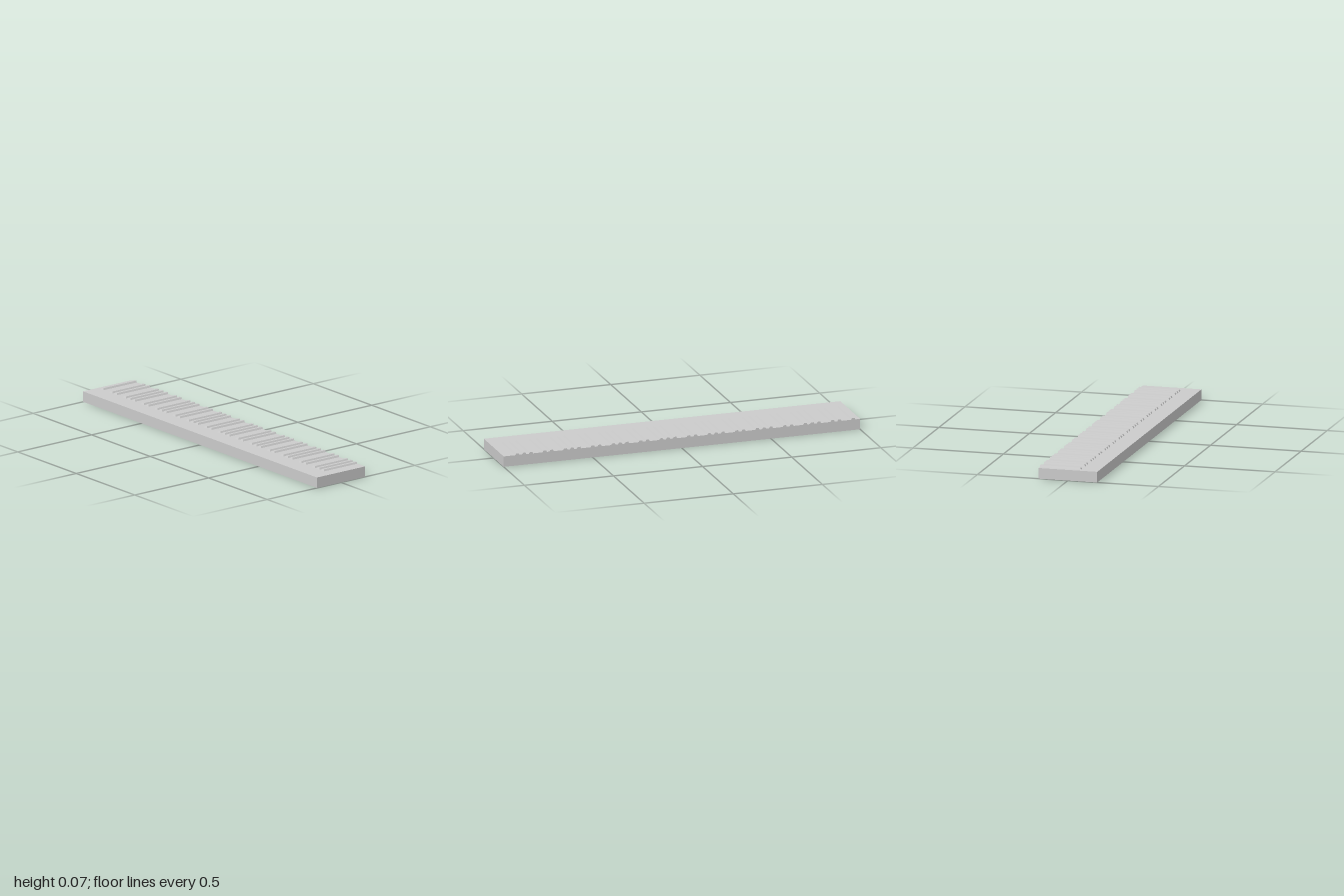
import * as THREE from 'three';

const WHITE_KEYS = 52;
const PITCH = 2 / WHITE_KEYS;
const BED = { height: 0.058, depth: 0.324 };
const KEY = { width: 0.024, height: 0.009, front: 0.065, back: -0.162, bevel: 0.005 };

// Black key: a box whose top is drawn in at the sides and front, flush at the back
function blackKeyGeometry() {
  const length = KEY.front - KEY.back;
  const geometry = new THREE.BoxGeometry(KEY.width, KEY.height, length);
  geometry.translate(0, KEY.height / 2, KEY.back + length / 2);
  const p = geometry.attributes.position;
  for (let i = 0; i < p.count; i++) {
    if (p.getY(i) < KEY.height / 2) continue;
    p.setX(i, p.getX(i) - Math.sign(p.getX(i)) * KEY.bevel);
    if (p.getZ(i) > 0) p.setZ(i, KEY.front - KEY.bevel);
  }
  const flat = geometry.toNonIndexed();
  flat.computeVertexNormals();
  return flat;
}

export function createModel() {
  const model = new THREE.Group();
  model.name = 'pianoKeyboard';
  const material = new THREE.MeshStandardMaterial({ color: 0xcccccc, flatShading: true });

  // Continuous slab of white keys
  const bed = new THREE.Mesh(new THREE.BoxGeometry(2, BED.height, BED.depth), material);
  bed.name = 'whiteKeyBed';
  bed.position.y = BED.height / 2;
  model.add(bed);

  // Black keys straddle the white-key joints in groups of two and three
  const blackKeys = new THREE.Group();
  blackKeys.name = 'blackKeys';
  const geometry = blackKeyGeometry();
  const firstC = 2;
  for (let joint = 1; joint < WHITE_KEYS - 1; joint++) {
    const step = (joint - firstC + 7) % 7;
    if (step === 0 || step === 3) continue;
    const key = new THREE.Mesh(geometry, material);
    key.name = 'blackKey';
    key.position.set(-1 + joint * PITCH, BED.height, 0);
    blackKeys.add(key);
  }
  model.add(blackKeys);
  return model;
}
